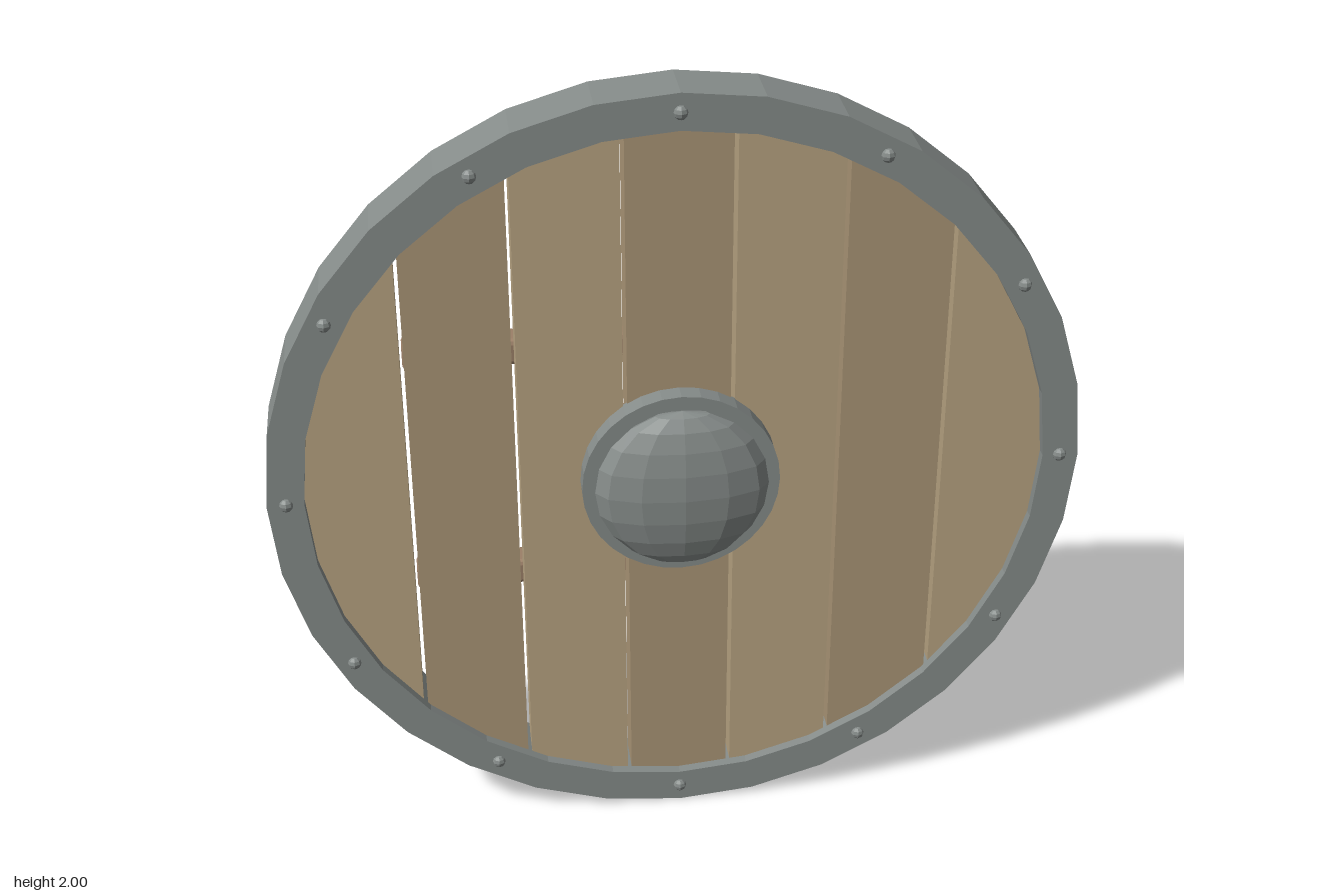
import * as THREE from 'three';
import { RoundedBoxGeometry } from 'three/addons/geometries/RoundedBoxGeometry.js';

const paint = (color) => new THREE.MeshStandardMaterial({ color, flatShading: true });

export function createModel() {
  const shield = new THREE.Group();
  shield.name = 'roundShield';
  const iron = paint(0x868c8a);
  const lightWood = paint(0xb8a482);
  const darkWood = paint(0xab9677);
  const brownWood = paint(0x9c8068);

  const add = (name, geometry, material, x, y, z, parent = shield) => {
    const mesh = new THREE.Mesh(geometry, material);
    mesh.name = name;
    mesh.position.set(x, y, z);
    parent.add(mesh);
    return mesh;
  };

  // Iron rim: rectangular section swept round the edge
  const section = [[1, -0.03], [1, 0.115], [0.91, 0.115], [0.91, -0.03], [1, -0.03]]
    .map(([r, h]) => new THREE.Vector2(r, h));
  add('rim', new THREE.LatheGeometry(section, 32).rotateX(Math.PI / 2), iron, 0, 1, 0);

  // Seven planks, each cut to the circle, with narrow gaps between them
  const planks = new THREE.Group();
  planks.name = 'planks';
  shield.add(planks);
  const R = 0.922, pitch = 0.262, gap = 0.01, steps = 4;
  for (let i = -3; i <= 3; i++) {
    const x0 = Math.max(-R, (i - 0.5) * pitch + gap / 2);
    const x1 = Math.min(R, (i + 0.5) * pitch - gap / 2);
    const top = [], bottom = [];
    for (let s = 0; s <= steps; s++) {
      const x = x0 + (x1 - x0) * s / steps;
      const y = Math.sqrt(Math.max(0, R * R - x * x));
      bottom.push(new THREE.Vector2(x, -y));
      if (y > 1e-4) top.unshift(new THREE.Vector2(x, y));
    }
    const geometry = new THREE.ExtrudeGeometry(new THREE.Shape([...bottom, ...top]),
      { depth: 0.09, bevelEnabled: false });
    add('plank', geometry, i % 2 ? lightWood : darkWood, 0, 1, 0, planks);
  }

  // Domed boss on a flat round flange
  add('bossFlange', new THREE.CylinderGeometry(0.243, 0.243, 0.055, 32).rotateX(Math.PI / 2),
    iron, 0, 1, 0.111);
  add('bossDome', new THREE.SphereGeometry(0.213, 12, 10).scale(1, 1, 0.33), iron, 0, 1, 0.153);

  // Rivets round the rim
  const rivets = new THREE.Group();
  rivets.name = 'rivets';
  shield.add(rivets);
  const rivet = new THREE.SphereGeometry(0.018, 8, 6);
  for (let i = 0; i < 12; i++) {
    const a = i * Math.PI / 6;
    add('rivet', rivet, iron, 0.953 * Math.cos(a), 1 + 0.953 * Math.sin(a), 0.112, rivets);
  }

  // Two battens across the back
  for (const side of [-1, 1])
    add('batten', new RoundedBoxGeometry(1.31, 0.068, 0.075, 1, 0.012), brownWood,
      0, 1 + side * 0.315, -0.035);

  // Hand grip behind the boss
  add('grip', new THREE.CylinderGeometry(0.06, 0.06, 0.425, 8).rotateZ(Math.PI / 2),
    brownWood, 0, 1, -0.165);

  return shield;
}
